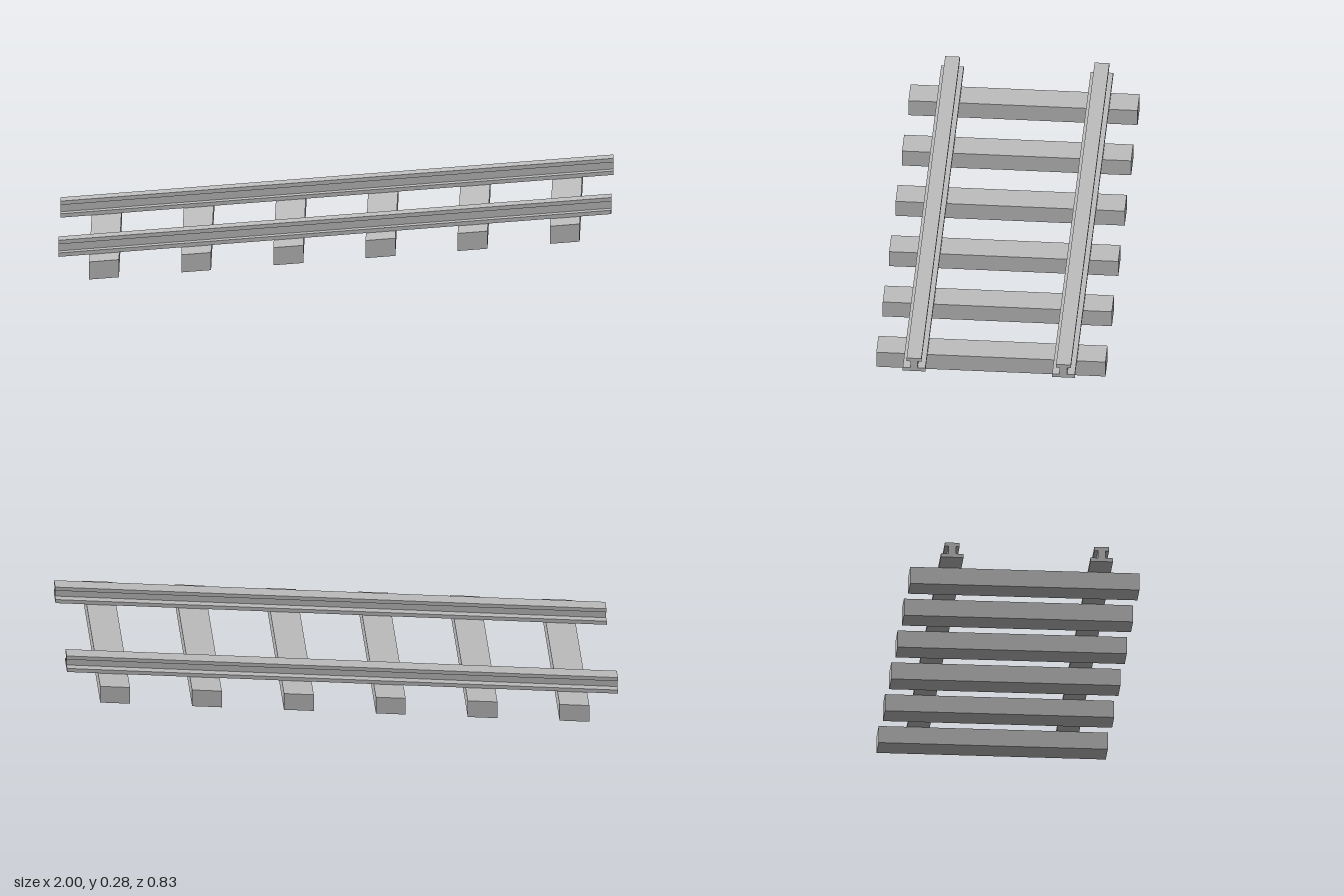
import * as THREE from 'three';

const SLOPE = 0.084;      // rise per unit of x
const RAIL_BASE = 0.1405; // rail underside at x = 0
const SLEEPER_H = 0.066;

// Vertical shear that tilts the track while its end faces stay upright
const incline = new THREE.Matrix4().set(
  1, 0, 0, 0,
  SLOPE, 1, 0, 0,
  0, 0, 1, 0,
  0, 0, 0, 1
);

// Rail profile: wide foot, narrow web, square head
function railGeometry() {
  const half = [
    [0.041, 0], [0.041, 0.0145], [0.0135, 0.0145],
    [0.0135, 0.0435], [0.0268, 0.0435], [0.0268, 0.058],
  ];
  const mirrored = half.map(([x, y]) => [-x, y]).reverse();
  const points = [...half, ...mirrored].map(([x, y]) => new THREE.Vector2(x, y));
  const geometry = new THREE.ExtrudeGeometry(new THREE.Shape(points), { depth: 2, bevelEnabled: false });
  return geometry.translate(0, 0, -1).rotateY(Math.PI / 2);
}

export function createModel() {
  const track = new THREE.Group();
  track.name = 'slopedTrack';
  const grey = new THREE.MeshStandardMaterial({ color: 0xc0c0c0 });
  grey.name = 'lightGrey';

  const add = (name, geometry, x, y, z) => {
    geometry.translate(x, y, z).applyMatrix4(incline);
    const mesh = new THREE.Mesh(geometry, grey);
    mesh.name = name;
    track.add(mesh);
  };

  // Two parallel rails
  add('frontRail', railGeometry(), 0, RAIL_BASE, 0.271);
  add('backRail', railGeometry(), 0, RAIL_BASE, -0.271);

  // Six evenly spaced sleepers under the rails
  for (let i = 0; i < 6; i++) {
    const box = new THREE.BoxGeometry(0.108, SLEEPER_H, 0.831);
    add(`sleeper${i + 1}`, box, (i - 2.5) / 3, RAIL_BASE - SLEEPER_H / 2, 0);
  }
  return track;
}
